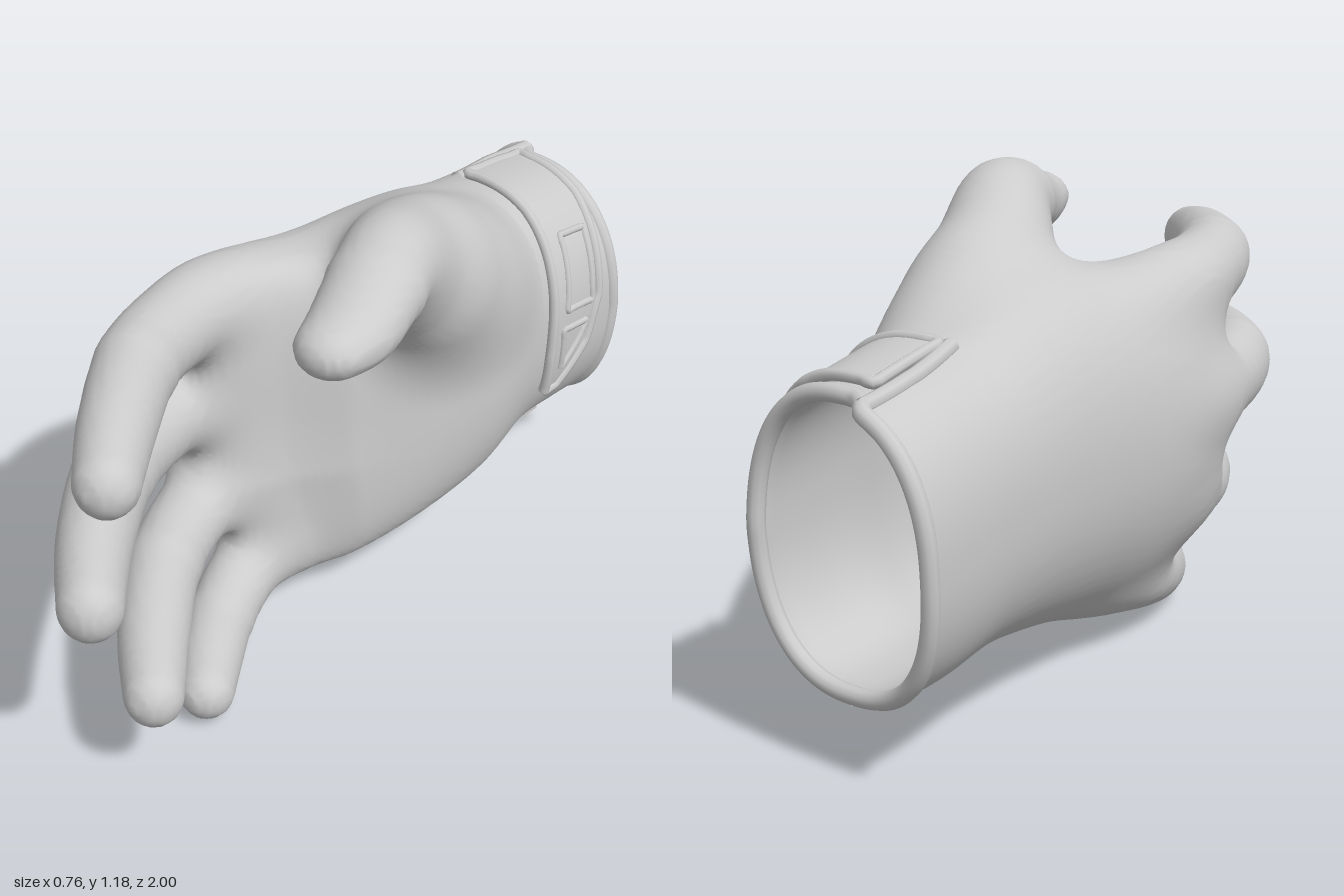
import * as THREE from 'three';
import { toCreasedNormals } from 'three/addons/utils/BufferGeometryUtils.js';

const V = (x, y, z) => new THREE.Vector3(x, y, z);
const { smoothstep, degToRad } = THREE.MathUtils;
const material = new THREE.MeshStandardMaterial({ color: 0xcccccc, side: THREE.DoubleSide });

function mesh(name, geometry) {
  const m = new THREE.Mesh(geometry, material);
  m.name = name;
  return m;
}

// Catmull-Rom through rows of numbers; t counts in rows
function sample(rows, t) {
  const last = rows.length - 1;
  const i = Math.min(Math.max(Math.floor(t), 0), last - 1), f = Math.min(t - i, 1);
  const a = rows[Math.max(i - 1, 0)], b = rows[i], c = rows[i + 1], d = rows[Math.min(i + 2, last)];
  return b.map((_, k) => b[k] + 0.5 * f * (c[k] - a[k] + f * (2 * a[k] - 5 * b[k] + 4 * c[k] - d[k]
    + f * (3 * (b[k] - c[k]) + d[k] - a[k]))));
}

// Skin through closed rings of points, capped at the listed rings
function loft(rings, caps) {
  const n = rings[0].length, pos = [], idx = [];
  rings.forEach(r => r.forEach(p => pos.push(p.x, p.y, p.z)));
  for (let i = 0; i < rings.length - 1; i++) {
    for (let j = 0; j < n; j++) {
      const a = i * n + j, b = i * n + (j + 1) % n;
      idx.push(a, b, b + n, a, b + n, a + n);
    }
  }
  caps.forEach(e => {
    const c = rings[e].reduce((s, p) => s.add(p), V(0, 0, 0)).divideScalar(n);
    const ci = pos.length / 3;
    pos.push(c.x, c.y, c.z);
    for (let j = 0; j < n; j++) {
      const a = e * n + j, b = e * n + (j + 1) % n;
      if (e) idx.push(a, b, ci); else idx.push(b, a, ci);
    }
  });
  const g = new THREE.BufferGeometry();
  g.setAttribute('position', new THREE.Float32BufferAttribute(pos, 3));
  g.setIndex(idx);
  g.computeVertexNormals();
  return g;
}

// Hand body sections: z, bottom y, top y, back x, palm x, arch
const body = [
  [-0.95, 0.175, 0.85, -0.36, 0.18, 0],
  [-0.8, 0.175, 0.87, -0.355, 0.175, 0],
  [-0.6, 0.185, 0.9, -0.345, 0.18, 0.01],
  [-0.4, 0.15, 0.96, -0.345, 0.2, 0.04],
  [-0.2, 0.115, 0.98, -0.355, 0.15, 0.07],
  [0, 0.085, 0.965, -0.372, 0.05, 0.1],
  [0.13, 0.08, 0.96, -0.368, -0.05, 0.12],
  [0.3, 0.1, 0.94, -0.345, -0.11, 0.12],
];
const POWER = 0.85;

function section(z) {
  let i = 0;
  while (i < body.length - 2 && z > body[i + 1][0]) i++;
  const [, y0, y1, x0, x1, arch] = sample(body, i + (z - body[i][0]) / (body[i + 1][0] - body[i][0]));
  return { cx: (x0 + x1) / 2, cy: (y0 + y1) / 2, hx: (x1 - x0) / 2, hy: (y1 - y0) / 2, arch };
}

function archShift(arch, y) {
  const u = (y - 0.62) / 0.5;
  return arch * u * u * (u > 0 ? 0.7 : 1);
}

// Point on the wrist at height z and angle a (0 = palm side, 90 deg = thumb side)
function wristPoint(z, a, off = 0) {
  const { cx, cy, hx, hy, arch } = section(z);
  const c = Math.cos(a), s = Math.sin(a), pw = v => Math.sign(v) * Math.abs(v) ** POWER;
  const y = cy + hy * pw(s) + off * s;
  // slanted rim, cut back under the strap
  const rim = 1 - smoothstep(z, -0.95, -0.65);
  const notch = 0.05 * smoothstep(c, -0.35, -0.12) * Math.max(s, 0);
  return V(cx + hx * pw(c) + off * c + archShift(arch, y), y,
    z + rim * (0.015 + 0.035 * c - 0.025 * s + notch));
}

function wristRing(z, off, n = 96) {
  return Array.from({ length: n }, (_, j) => wristPoint(z, (j / n) * Math.PI * 2, off));
}

// Lining from the depth of the glove out to the rim, then back along the outside
function cuff() {
  const rings = [];
  for (let z = -0.3; z > -0.97; z -= 0.05) rings.push(wristRing(z, -0.025));
  for (let z = -0.95; z < -0.575; z += 0.0185) rings.push(wristRing(z, 0));
  return loft(rings, [0]);
}

// Finger rows: x, y, z, side radius, height radius
const fingers = {
  indexFinger: [[-0.2, 0.81, -0.16, 0.04, 0.05], [-0.215, 0.85, 0.02, 0.08, 0.09], [-0.215, 0.875, 0.2, 0.107, 0.11],
    [-0.18, 0.89, 0.38, 0.1, 0.104], [-0.12, 0.895, 0.53, 0.096, 0.1], [0.01, 0.885, 0.71, 0.087, 0.095],
    [0.125, 0.873, 0.845, 0.074, 0.08]],
  middleFinger: [[-0.22, 0.62, -0.16, 0.04, 0.05], [-0.245, 0.62, 0.02, 0.08, 0.09], [-0.255, 0.62, 0.2, 0.11, 0.11],
    [-0.23, 0.615, 0.38, 0.1, 0.106], [-0.16, 0.615, 0.58, 0.096, 0.106], [-0.01, 0.605, 0.78, 0.087, 0.1],
    [0.135, 0.595, 0.925, 0.074, 0.083]],
  ringFinger: [[-0.18, 0.42, -0.2, 0.04, 0.05], [-0.2, 0.4, -0.02, 0.075, 0.085], [-0.205, 0.37, 0.15, 0.104, 0.102],
    [-0.18, 0.345, 0.32, 0.095, 0.092], [-0.1, 0.325, 0.5, 0.09, 0.094], [0.04, 0.3, 0.67, 0.085, 0.09],
    [0.175, 0.28, 0.8, 0.07, 0.077]],
  littleFinger: [[-0.07, 0.26, -0.26, 0.04, 0.05], [-0.11, 0.21, -0.1, 0.07, 0.08], [-0.13, 0.17, 0.07, 0.094, 0.096],
    [-0.11, 0.125, 0.23, 0.088, 0.09], [-0.06, 0.092, 0.36, 0.083, 0.087], [0.01, 0.08, 0.465, 0.08, 0.083],
    [0.09, 0.075, 0.56, 0.068, 0.071]],
  thumb: [[0.01, 0.68, -0.55, 0.05, 0.06], [0.045, 0.75, -0.42, 0.14, 0.17], [0.065, 0.835, -0.27, 0.177, 0.215],
    [0.105, 0.95, -0.12, 0.15, 0.17], [0.178, 1.05, 0.02, 0.12, 0.125], [0.235, 1.06, 0.14, 0.113, 0.1],
    [0.275, 1.037, 0.25, 0.105, 0.084], [0.295, 1.037, 0.335, 0.087, 0.066]],
};
const names = ['hand', ...Object.keys(fingers)];

// Each finger as a chain of balls, with a slight sleeve lip before the tip
const chains = Object.entries(fingers).map(([name, rows]) => Array.from({ length: 56 }, (_, k) => {
  const t = (k / 55) * (rows.length - 1), seam = name === 'thumb' ? 4.8 : 4;
  const [x, y, z, a, b] = sample(rows, t), lip = 1 + 0.035 * Math.max(0, 1 - Math.abs(t - seam) / 0.2);
  return [x, y, z, a * lip, a / b];
}));

// Smooth union of two distances
function blend(a, b, k) {
  const h = Math.max(0, 1 - Math.abs(a - b) / k);
  return Math.min(a, b) - (h * h * k) / 4;
}

// Distance to hand and fingers, and which part is nearest
function field(x, y, z) {
  const zs = z + 0.4 * Math.max(0, 0.4 - y) * smoothstep(z, -0.2, 0.3);
  const { cx, cy, hx, hy, arch } = section(Math.min(zs, 0.3));
  const dx = x - cx - archShift(arch, y), dy = y - cy, p = 2 / POWER;
  const g = Math.max(1e-3, (Math.abs(dx / hx) ** p + Math.abs(dy / hy) ** p) ** (1 / p));
  let near = -blend(-Math.hypot(dx, dy) * (1 - 1 / g), 0.3 - zs, 0.12), d = near, part = 0;
  chains.forEach((chain, i) => {
    let f = Infinity;
    for (const [bx, by, bz, r, squash] of chain) {
      f = Math.min(f, Math.sqrt((x - bx) ** 2 + ((y - by) * squash) ** 2 + (z - bz) ** 2) - r);
    }
    if (f < near) { near = f; part = i + 1; }
    d = blend(d, f, names[i + 1] === 'thumb' ? 0.1 : 0.065);
  });
  return [d, part];
}

// Wrap one seamless skin around the field and split it into named parts
function handParts() {
  const h = 0.0165, lo = [-0.48, -0.06, -0.6], n = [56, 77, 100], step = [1, n[0], n[0] * n[1]];
  const total = n[0] * n[1] * n[2], val = new Float32Array(total), owner = new Uint8Array(total);
  const at = c => [c % n[0], Math.floor(c / n[0]) % n[1], Math.floor(c / step[2])];
  for (let c = 0; c < total; c++) [val[c], owner[c]] = field(...at(c).map((v, k) => lo[k] + v * h));

  // one vertex per crossed cell
  const vertex = new Int32Array(total).fill(-1), pos = [], index = names.map(() => []);
  for (let c = 0; c < total; c++) {
    const ijk = at(c), sum = [0, 0, 0];
    let hits = 0;
    if (ijk.some((v, k) => v === n[k] - 1)) continue;
    for (let d = 0; d < 3; d++) {
      const u = (d + 1) % 3, v = (d + 2) % 3;
      for (let e = 0; e < 4; e++) {
        const p = c + (e & 1) * step[u] + (e >> 1) * step[v], a = val[p], b = val[p + step[d]];
        if (a < 0 === b < 0) continue;
        hits++;
        sum[d] += a / (a - b);
        sum[u] += e & 1;
        sum[v] += e >> 1;
      }
    }
    if (!hits) continue;
    vertex[c] = pos.length / 3;
    pos.push(...sum.map((s, k) => lo[k] + (ijk[k] + s / hits) * h));
  }
  // one quad per crossed grid edge
  for (let c = 0; c < total; c++) {
    const ijk = at(c);
    for (let d = 0; d < 3; d++) {
      const u = (d + 1) % 3, v = (d + 2) % 3;
      if (ijk[d] === n[d] - 1 || !ijk[u] || !ijk[v] || val[c] < 0 === val[c + step[d]] < 0) continue;
      const q = [c, c - step[u], c - step[u] - step[v], c - step[v]].map(k => vertex[k]);
      if (q.includes(-1)) continue;
      if (val[c] >= 0) q.reverse();
      index[owner[c]].push(q[0], q[1], q[2], q[0], q[2], q[3]);
    }
  }
  // normals are shared so that the parts join without a crease
  const whole = new THREE.BufferGeometry();
  whole.setAttribute('position', new THREE.Float32BufferAttribute(pos, 3));
  whole.setIndex(index.flat());
  whole.computeVertexNormals();
  return names.map((name, i) => mesh(name, whole.clone().setIndex(index[i])));
}

// Strap outline: angle in degrees, edge towards the cuff, edge towards the fingers
const strapRows = [[98, -0.91, -0.65], [62, -0.905, -0.645], [10, -0.85, -0.62], [-5, -0.79, -0.61], [-22, -0.66, -0.61]];

function strapBand() {
  const rings = [];
  for (let k = 32; k >= 0; k--) {
    const [deg, z0, z1] = sample(strapRows, k / 8), a = degToRad(deg);
    rings.push([[z0, -0.01], [z1, -0.01], [z1, 0.017], [z0, 0.017]].map(([z, o]) => wristPoint(z, a, o)));
  }
  return toCreasedNormals(loft(rings.reverse().map(r => r.reverse()), [0, 32]), 0.7);
}

// Raised cord lying on the wrist along [degrees, z] corners
function cord(corners, r, off, closed = true) {
  const pts = [];
  corners.forEach(([d, z], i) => {
    const next = corners[i + 1] || (closed ? corners[0] : null);
    if (!next) return pts.push(wristPoint(z, degToRad(d), off));
    for (let k = 0; k < 6; k++) {
      const f = k / 6;
      pts.push(wristPoint(z + (next[1] - z) * f, degToRad(d + (next[0] - d) * f), off));
    }
  });
  return new THREE.TubeGeometry(new THREE.CatmullRomCurve3(pts, closed), pts.length * 3, r, 8, closed);
}

export function createModel() {
  const glove = new THREE.Group();
  glove.name = 'glove';
  glove.add(...handParts(), mesh('cuff', cuff()));

  // cuff: rolled rim and the folded edge beside the strap
  const rim = new THREE.CatmullRomCurve3(wristRing(-0.95, -0.01, 60), true);
  glove.add(mesh('cuffRim', new THREE.TubeGeometry(rim, 180, 0.021, 10, true)));
  glove.add(mesh('cuffFold', cord([[106, -0.95], [105, -0.78], [101, -0.62]], 0.02, 0, false)));

  // wrist strap with raised border and two framed windows
  const strap = new THREE.Group();
  strap.name = 'wristStrap';
  const outline = [...strapRows.map(r => [r[0], r[1]]), ...strapRows.map(r => [r[0], r[2]]).reverse()];
  strap.add(mesh('strapBand', strapBand()));
  strap.add(mesh('strapBorder', cord(outline, 0.014, 0.014)));
  strap.add(mesh('upperWindow', cord([[43, -0.71], [43, -0.845], [9, -0.81], [9, -0.675]], 0.01, 0.017)));
  strap.add(mesh('lowerWindow', cord([[2, -0.66], [2, -0.78], [-12, -0.66]], 0.01, 0.017)));
  glove.add(strap);

  // pull tab under the wrist
  const tab = mesh('pullTab', new THREE.BoxGeometry(0.025, 0.08, 0.26));
  tab.position.set(-0.02, 0.16, -0.715);
  glove.add(tab);
  return glove;
}
